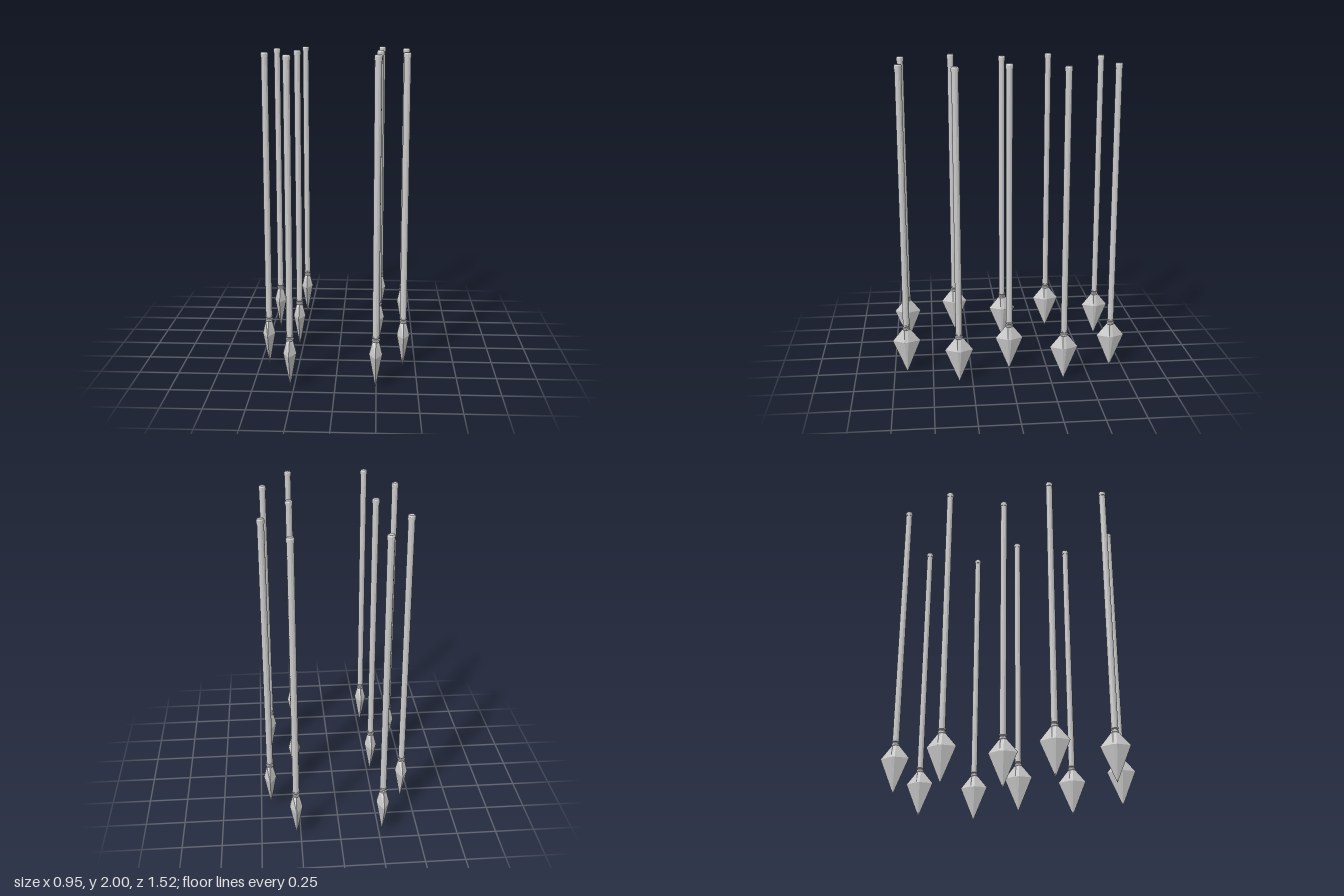
import * as THREE from 'three';

const SIDES = 12;

// Lathe a list of [radius, y] pairs
function lathe(pairs, sides) {
  return new THREE.LatheGeometry(pairs.map(([r, y]) => new THREE.Vector2(r, y)), sides);
}

// Six-sided blade: sharp edges on +z and -z, a narrow flat on each side
function bladeGeometry() {
  // [y, half thickness in x, half width in z, half width of the side flat]
  const sections = [[0, 0, 0, 0], [0.22, 0.04, 0.09, 0.012], [0.302, 0.02, 0.024, 0.01], [0.302, 0, 0, 0]];
  const geometry = lathe(sections.map(([y, hx]) => [hx ? 1 : 0, y]), 6);
  const pos = geometry.attributes.position;
  for (let i = 0; i < pos.count; i++) {
    const [y, hx, hz, flat] = sections[i % sections.length];
    const x = pos.getX(i), z = pos.getZ(i);
    const onSide = Math.abs(x) > 0.1;
    pos.setXYZ(i, onSide ? Math.sign(x) * hx : 0, y, Math.sign(z) * (onSide ? flat : hz));
  }
  geometry.computeVertexNormals();
  return geometry;
}

export function createModel() {
  const group = new THREE.Group();
  group.name = 'spears';
  const material = new THREE.MeshStandardMaterial({ color: 0xcccccc, flatShading: true });

  const parts = {
    blade: bladeGeometry(),
    // Ringed socket between blade and shaft
    collar: lathe([[0, 0.295], [0.02, 0.295], [0.025, 0.304], [0.025, 0.312], [0.019, 0.316], [0.019, 0.32], [0.024, 0.325], [0.024, 0.333], [0, 0.333]], SIDES),
    shaft: lathe([[0, 0.33], [0.021, 0.33], [0.021, 1.975], [0, 1.975]], SIDES),
    // Rounded butt cap
    cap: lathe([[0, 1.97], [0.024, 1.97], [0.024, 1.99], [0.019, 2], [0, 2]], SIDES),
  };

  // Two staggered rows of five; the left row drifts slightly inward to the front
  const rightRow = [-0.273, -0.44, -0.273, -0.44, -0.273];
  const leftRow = [0.276, 0.435, 0.261, 0.42, 0.246];
  [rightRow, leftRow].forEach((row, side) => row.forEach((x, i) => {
    const spear = new THREE.Group();
    spear.name = `${side ? 'left' : 'right'}Spear${i + 1}`;
    for (const [name, geometry] of Object.entries(parts)) {
      const mesh = new THREE.Mesh(geometry, material);
      mesh.name = name;
      spear.add(mesh);
    }
    spear.position.set(x, 0, (i - 2) * 0.334);
    group.add(spear);
  }));
  return group;
}
